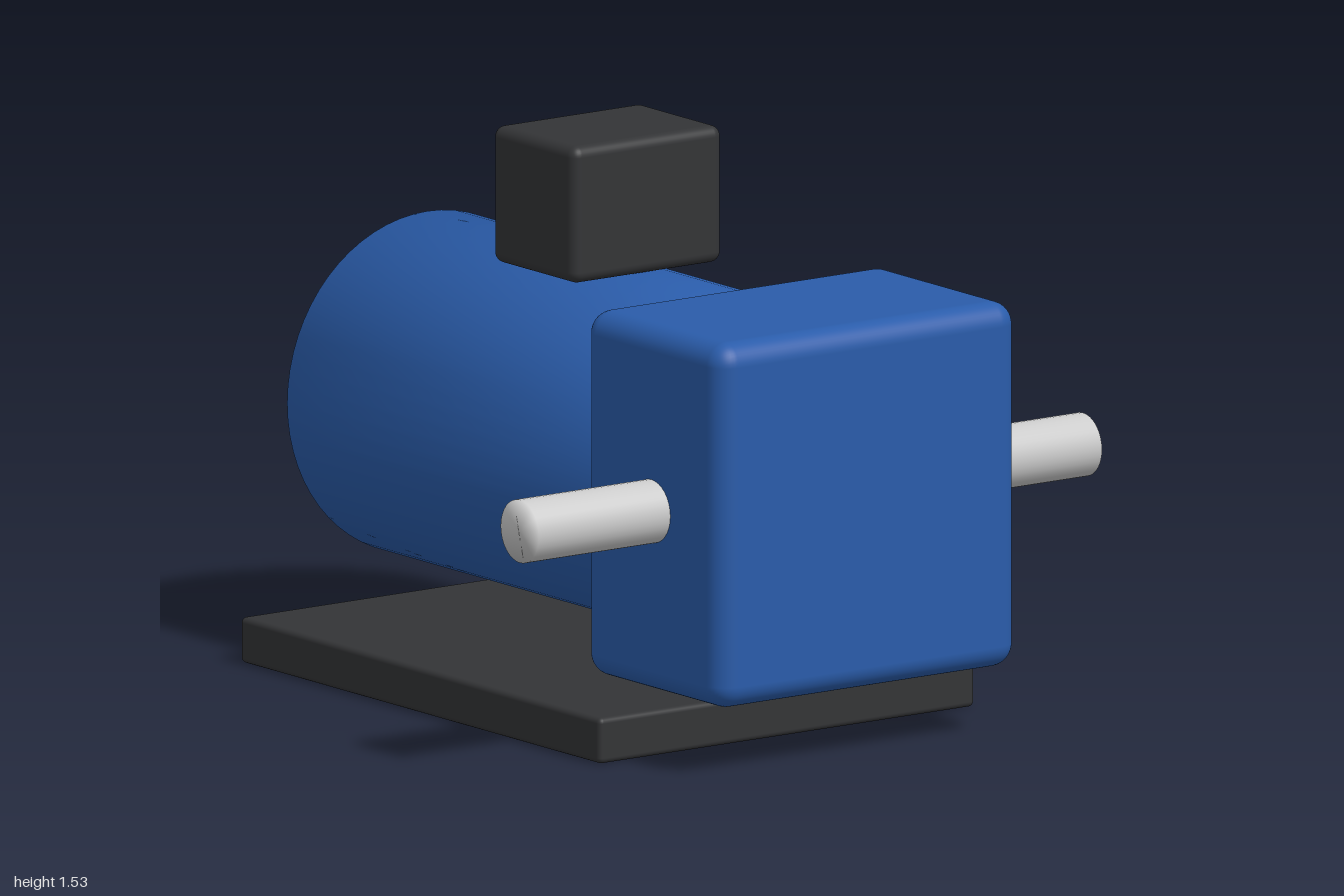
import * as THREE from 'three';
import { RoundedBoxGeometry } from 'three/addons/geometries/RoundedBoxGeometry.js';

const material = (color) => new THREE.MeshStandardMaterial({ color });

export function createModel() {
  const group = new THREE.Group();
  const blue = material(0x2a5caa);
  const dark = material(0x333436);
  const grey = material(0xcccccc);

  const add = (name, geometry, mat, x, y, z) => {
    const mesh = new THREE.Mesh(geometry, mat);
    mesh.name = name;
    mesh.position.set(x, y, z);
    group.add(mesh);
    return mesh;
  };

  // Closed cylinder whose normals blend softly over the rims
  const softCylinder = (radius, length, segments) => new THREE.LatheGeometry([
    new THREE.Vector2(0, -length / 2),
    new THREE.Vector2(radius, -length / 2),
    new THREE.Vector2(radius, length / 2),
    new THREE.Vector2(0, length / 2),
  ], segments);

  const axisY = 0.69;

  // Mounting plate
  add('basePlate', new RoundedBoxGeometry(1.25, 0.125, 1.625, 3, 0.015), dark, 0, 0.0625, -0.1875);

  // Motor barrel along z
  add('motorBody', softCylinder(0.467, 1.375, 64), blue, 0, axisY, -0.3125).rotation.x = Math.PI / 2;

  // Gear housing at the front
  add('gearbox', new RoundedBoxGeometry(1, 1, 0.625, 5, 0.0625), blue, 0, axisY, 0.6875);

  // Output shaft passing through the housing
  add('outputShaft', softCylinder(0.0865, 1.875, 32), grey, 0, axisY, 0.6875).rotation.z = Math.PI / 2;

  // Terminal box on top of the barrel
  add('terminalBox', new RoundedBoxGeometry(0.5, 0.375, 0.375, 4, 0.03), dark, 0, 1.345, -0.1875);

  return group;
}
